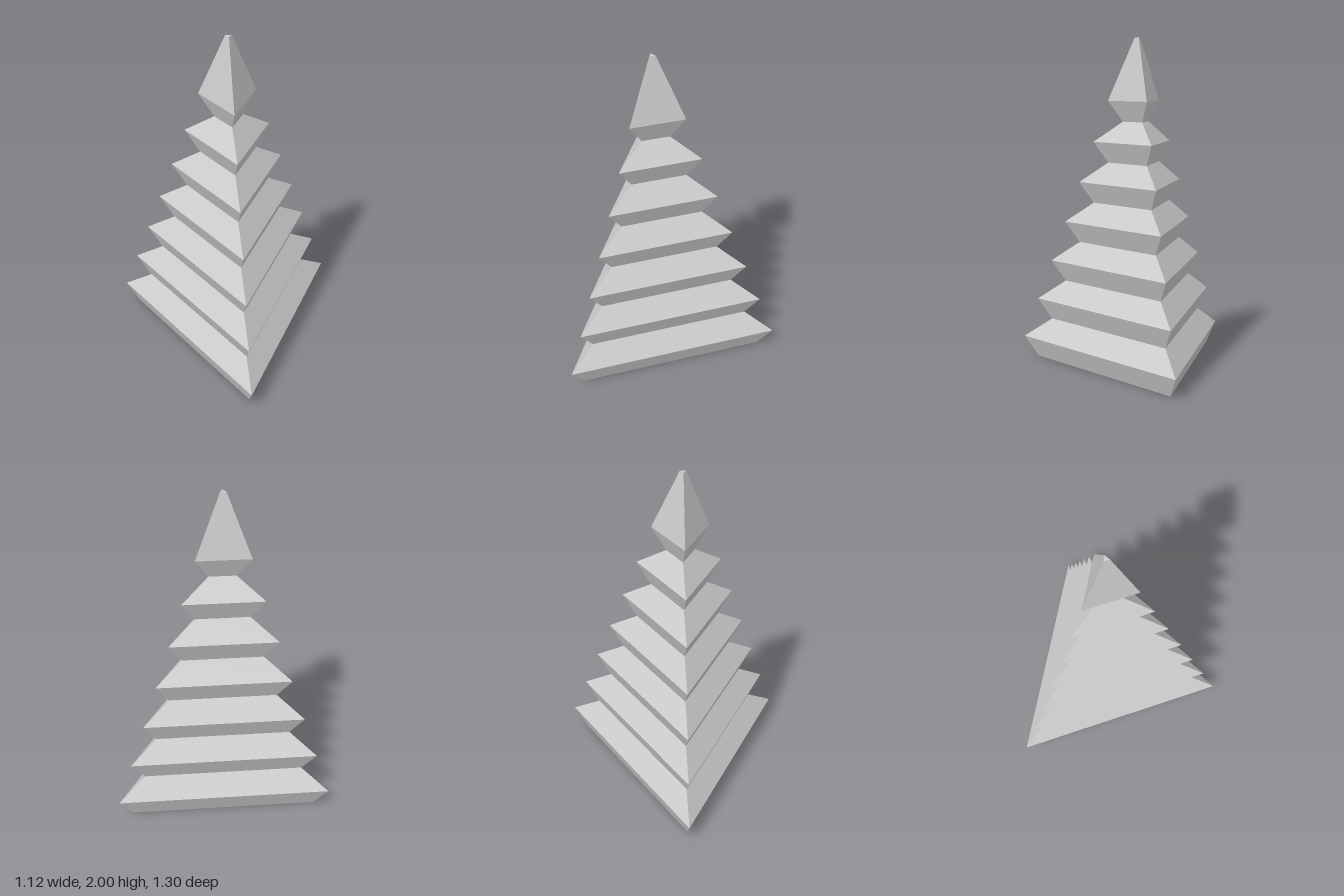
import * as THREE from 'three';

const TIERS = 7;
const TIER_HEIGHT = 0.25;
const STEP = 0.09375; // radius lost from one tier to the next
const AXIS_X = -0.1875; // centres the triangular footprint on x = 0

export function createModel() {
  const group = new THREE.Group();
  group.name = 'tieredTriangularSpire';

  // Zigzag profile: each tier flares out to a rim, then tapers to the next neck
  const profile = [new THREE.Vector2(0, 0)];
  for (let i = 0; i < TIERS; i++) {
    const rim = STEP * (8 - i);
    const y = i * TIER_HEIGHT;
    profile.push(new THREE.Vector2(i === 0 ? rim - STEP : rim - STEP, y));
    profile.push(new THREE.Vector2(rim, y + TIER_HEIGHT / 2));
  }
  // Tall top point with a tiny flat cap
  profile.push(new THREE.Vector2(0.02, 2), new THREE.Vector2(0, 2));

  // The rims and necks shrink together: necks sit two steps inside the rim below
  const material = new THREE.MeshStandardMaterial({ color: 0xcccccc, flatShading: true });
  const spire = new THREE.Mesh(new THREE.LatheGeometry(profile, 3, Math.PI / 2), material);
  spire.name = 'spire';
  spire.position.x = AXIS_X;
  group.add(spire);
  return group;
}
